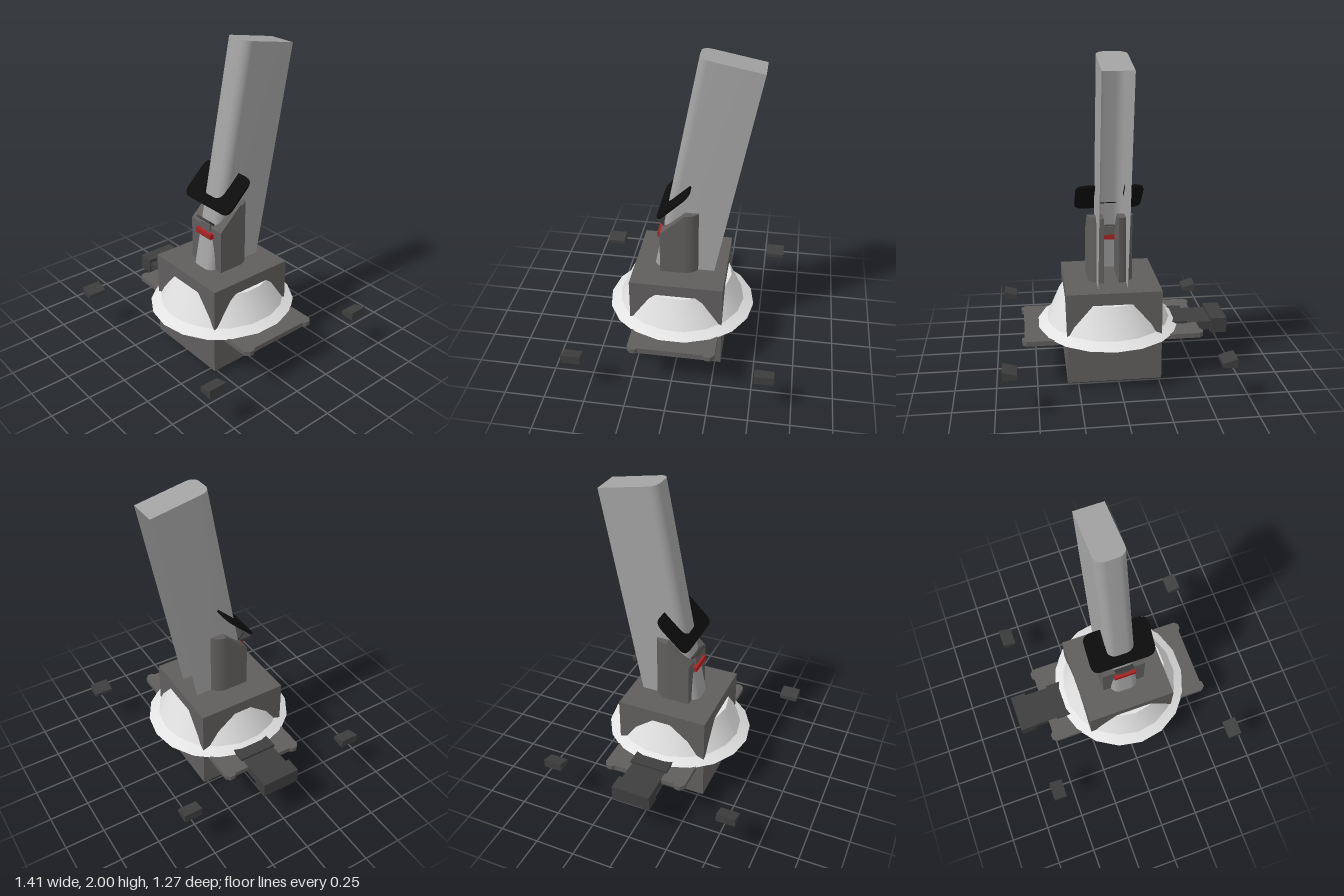
import * as THREE from 'three';
import { toCreasedNormals } from 'three/addons/utils/BufferGeometryUtils.js';
import { ConvexGeometry } from 'three/addons/geometries/ConvexGeometry.js';

const CX = 0.03; // centre line of the body

function material(name, color, doubleSided = false) {
  const m = new THREE.MeshStandardMaterial({ color });
  m.name = name;
  if (doubleSided) m.side = THREE.DoubleSide;
  return m;
}

export function createModel() {
  const model = new THREE.Group();
  model.name = 'model';
  const grey = material('body grey', 0x605e5d);
  const dark = material('dark grey', 0x3e3e3e);
  const steel = material('post grey', 0xa2a2a2, true);
  const white = material('skirt white', 0xe2e2e2, true);
  const black = material('plate black', 0x0c0c0c, true);
  const red = material('band red', 0xa82222);

  function add(name, geometry, mat, x = 0, y = 0, z = 0, parent = model) {
    const mesh = new THREE.Mesh(geometry, mat);
    mesh.name = name;
    mesh.position.set(x, y, z);
    parent.add(mesh);
    return mesh;
  }
  // Box given by its lower and upper bounds
  function block(name, mat, x0, x1, y0, y1, z0, z1) {
    return add(name, new THREE.BoxGeometry(x1 - x0, y1 - y0, z1 - z0), mat,
      (x0 + x1) / 2, (y0 + y1) / 2, (z0 + z1) / 2);
  }

  // Body cube
  block('body', grey, -0.26, 0.317, 0.03, 0.605, -0.289, 0.289);

  // Tapered round studs on the four sides and the bottom
  const studGeo = toCreasedNormals(new THREE.CylinderGeometry(0.068, 0.085, 0.03, 20), 0.6);
  for (let i = 0; i < 4; i++) {
    const a = i * Math.PI / 2;
    const stud = add('sideStud', studGeo, grey, CX + Math.sin(a) * 0.303, 0.32, Math.cos(a) * 0.303);
    stud.rotation.set(Math.PI / 2, 0, -a);
  }
  add('bottomStud', studGeo, grey, CX, 0.015, 0).rotation.x = Math.PI;

  // Flared skirt with a closed top
  const profile = [[0.466, 0.308], [0.4, 0.345], [0.317, 0.53], [0, 0.53]];
  const skirtGeo = new THREE.LatheGeometry(profile.map(([r, y]) => new THREE.Vector2(r, y)), 18);
  add('skirt', toCreasedNormals(skirtGeo, 0.4), white, 0.04, 0, 0).scale.x = 0.965;

  // Flat wing plate with chamfered, slightly projecting corners
  const quarter = [[0.54, 0], [0.54, 0.2], [0.555, 0.215], [0.555, 0.245], [0.53, 0.268]];
  const right = [...quarter.slice(1).reverse().map(([x, z]) => [x, -z]), ...quarter];
  const left = right.map(([x, z]) => [-x, -z]);
  const wingShape = new THREE.Shape([...right, ...left].map(([x, z]) => new THREE.Vector2(x, z)));
  const wingGeo = new THREE.ExtrudeGeometry(wingShape, { depth: 0.03, bevelEnabled: false });
  add('wingPlate', wingGeo.rotateX(-Math.PI / 2), grey, CX, 0.281, -0.006);

  // Side arm
  block('armEnd', dark, -0.705, -0.605, 0.237, 0.335, -0.125, 0.12);
  block('armLink', dark, -0.64, -0.42, 0.256, 0.312, -0.115, 0.11);
  block('armRoot', dark, -0.45, -0.25, 0.237, 0.327, -0.125, 0.12);

  // Four corner feet, thinner toward the middle
  for (const sx of [-1, 1]) {
    for (const sz of [-1, 1]) {
      const geo = new THREE.BoxGeometry(0.085, 0.055, 0.118);
      const p = geo.attributes.position;
      for (let i = 0; i < p.count; i++) {
        if (p.getX(i) * sx < 0) p.setY(i, p.getY(i) > 0 ? 0.003 : -0.022);
      }
      geo.computeVertexNormals();
      add('foot', geo, dark, CX + sx * 0.628, 0.283, sz * 0.577);
    }
  }

  // Leaning post: a U channel open at the back, with a lid
  const post = new THREE.Group();
  post.name = 'post';
  post.position.set(CX, 2, -0.1);
  post.rotation.x = -0.187;
  model.add(post);
  const w = 0.09, depth = 0.372, r = 0.055, section = [[-w, -depth]];
  for (let i = 0; i <= 8; i++) {
    const a = i / 8 * Math.PI / 2;
    section.push([-w + r - r * Math.cos(a), -r + r * Math.sin(a)]);
  }
  section.push(...section.map(([x, z]) => [-x, z]).reverse());
  const wallGeo = new THREE.PlaneGeometry(1, 1, section.length - 1, 1);
  const wp = wallGeo.attributes.position;
  for (let i = 0; i < wp.count; i++) {
    const [x, z] = section[i % section.length];
    wp.setXYZ(i, x, i < section.length ? 0 : -1.47, z);
  }
  add('postWall', toCreasedNormals(wallGeo, 0.5), steel, 0, 0, 0, post);
  const lid = new THREE.ShapeGeometry(new THREE.Shape(section.map(([x, z]) => new THREE.Vector2(x, -z))));
  add('postLid', lid.rotateX(-Math.PI / 2), steel, 0, 0, 0, post);

  // Bracket halves beside the post: rounded back, sloping front top
  for (const s of [-1, 1]) {
    const outline = [[0.045, 0.12], [0.14, 0.12], [0.14, -0.03]];
    for (let i = 0; i <= 6; i++) {
      const a = i / 6 * Math.PI / 2;
      outline.push([0.045 + 0.095 * Math.cos(a), -0.03 - 0.095 * Math.sin(a)]);
    }
    outline.push([0.045, -0.03]);
    const pts = outline.flatMap(([x, z]) => [
      new THREE.Vector3(s * x, 0.59, z),
      new THREE.Vector3(s * x, Math.min(1.02, 1.02 - (z + 0.03) * 0.93), z),
    ]);
    add('bracketHalf', toCreasedNormals(new ConvexGeometry(pts), 0.4), grey, CX, 0, 0);
  }

  // Tilted black plate, notched around the post
  const plate = new THREE.Shape();
  const pw = 0.207, ph = 0.265, c = 0.06, n = 0.088;
  plate.moveTo(-pw + c, 0);
  plate.lineTo(pw - c, 0);
  plate.quadraticCurveTo(pw, 0, pw, c);
  plate.lineTo(pw, ph - c);
  plate.quadraticCurveTo(pw, ph, pw - c, ph);
  plate.lineTo(n, ph);
  plate.lineTo(n, 0.13);
  plate.quadraticCurveTo(n, 0.068, 0.03, 0.066);
  plate.lineTo(-0.03, 0.066);
  plate.quadraticCurveTo(-n, 0.068, -n, 0.13);
  plate.lineTo(-n, ph);
  plate.lineTo(-pw + c, ph);
  plate.quadraticCurveTo(-pw, ph, -pw, ph - c);
  plate.lineTo(-pw, c);
  plate.quadraticCurveTo(-pw, 0, -pw + c, 0);
  const plateGeo = new THREE.ExtrudeGeometry(plate, { depth: 0.014, bevelEnabled: false });
  add('plate', plateGeo, black, CX, 1.015, 0.122).rotation.x = -0.8;

  // Red band and small clip on the front of the post
  block('redBand', red, -0.042, 0.1, 0.815, 0.848, 0.09, 0.145);
  block('clipBody', grey, -0.01, 0.07, 0.848, 0.9, 0.085, 0.128);
  const lip = add('clipLip', new THREE.BoxGeometry(0.12, 0.012, 0.06), dark, CX, 0.914, 0.122);
  lip.rotation.x = -0.75;
  const pad = add('clipPad', new THREE.BoxGeometry(0.08, 0.004, 0.025), grey, CX, 0.921, 0.13);
  pad.rotation.x = -0.75;

  return model;
}
